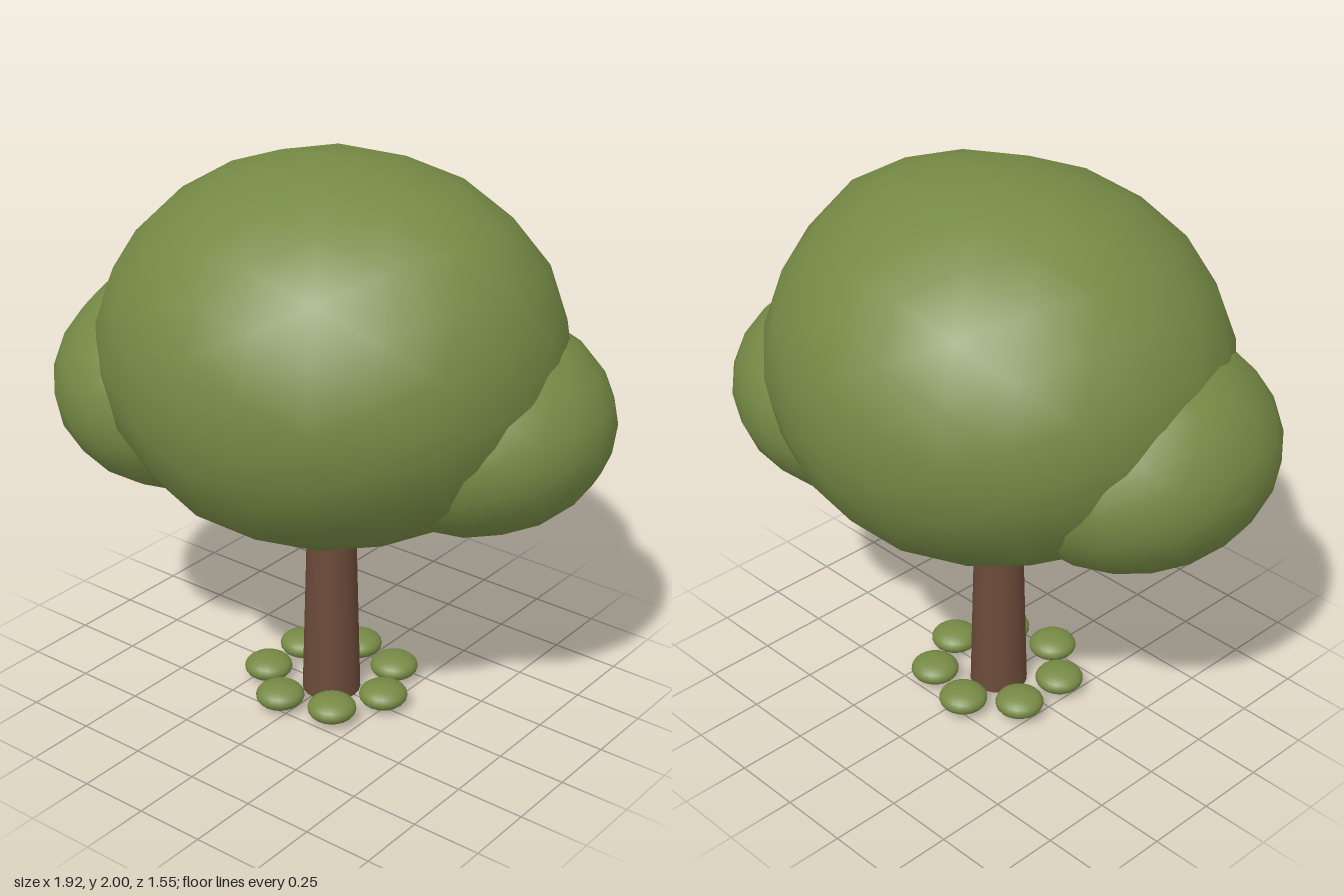
import * as THREE from 'three';
import { mergeVertices } from 'three/addons/utils/BufferGeometryUtils.js';

const leafGreen = new THREE.MeshStandardMaterial({ color: 0x768a45 });
leafGreen.name = 'leafGreen';
const barkBrown = new THREE.MeshStandardMaterial({ color: 0x6b4a39 });
barkBrown.name = 'barkBrown';

// Smooth faceted ellipsoid; each bump is [direction, relative swelling]
function foliage(name, center, radii, bumps = []) {
  let geo = new THREE.IcosahedronGeometry(1, 3);
  geo.deleteAttribute('uv');
  geo.deleteAttribute('normal');
  geo = mergeVertices(geo, 1e-4);
  const pos = geo.attributes.position;
  const v = new THREE.Vector3();
  const dirs = bumps.map(([d, amount]) => [new THREE.Vector3(...d).normalize(), amount]);
  for (let i = 0; i < pos.count; i++) {
    v.fromBufferAttribute(pos, i).normalize();
    let swell = 1;
    for (const [d, amount] of dirs) swell += amount * Math.max(0, v.dot(d)) ** 12;
    pos.setXYZ(i, v.x * radii[0] * swell, v.y * radii[1] * swell, v.z * radii[2] * swell);
  }
  geo.computeVertexNormals();
  const mesh = new THREE.Mesh(geo, leafGreen);
  mesh.name = name;
  mesh.position.set(...center);
  return mesh;
}

export function createModel() {
  const tree = new THREE.Group();
  tree.name = 'tree';

  // Crown: one large mass with a smaller one on each side
  tree.add(
    foliage('mainCrown', [0.01, 1.34, 0], [0.815, 0.66, 0.775], [
      [[0.75, 0.74, 0], 0.06],
      [[0, -0.7, 0.7], 0.02],
      [[0, -0.7, -0.7], 0.02],
    ]),
    foliage('leftCrown', [0.47, 1.14, -0.17], [0.485, 0.375, 0.49]),
    foliage('rightCrown', [-0.5, 1.15, 0.14], [0.46, 0.39, 0.51], [
      [[-0.5, 0.85, 0], 0.04],
    ])
  );

  // Tapered trunk reaching into the crown
  const trunk = new THREE.Mesh(new THREE.CylinderGeometry(0.08, 0.105, 0.9, 20), barkBrown);
  trunk.name = 'trunk';
  trunk.position.set(0.01, 0.45, 0);
  tree.add(trunk);

  // Ring of flattened tufts around the foot
  const tufts = new THREE.Group();
  tufts.name = 'groundTufts';
  const tuftGeo = new THREE.SphereGeometry(1, 20, 14);
  for (let i = 0; i < 7; i++) {
    const a = (i / 7) * Math.PI * 2;
    const tuft = new THREE.Mesh(tuftGeo, leafGreen);
    tuft.name = 'tuft' + (i + 1);
    tuft.scale.set(0.087, 0.045, 0.087);
    tuft.position.set(0.01 + 0.235 * Math.cos(a), 0.055, 0.235 * Math.sin(a));
    tufts.add(tuft);
  }
  tree.add(tufts);

  return tree;
}
